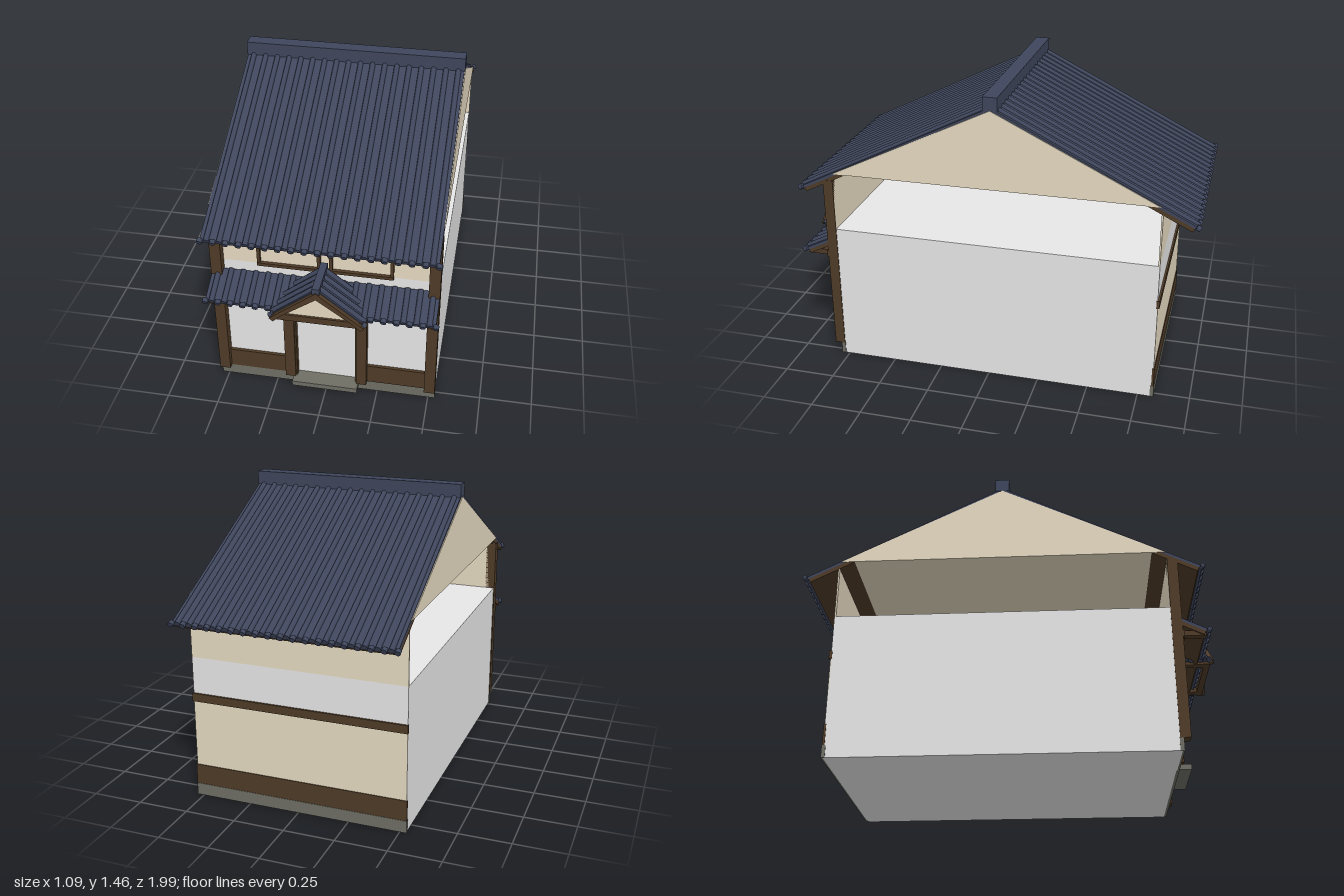
import * as THREE from 'three';

const mat = (name, color) => Object.assign(new THREE.MeshStandardMaterial({ color }), { name });

export function createModel() {
  const tile = mat('navy roof tile', 0x3f465c);
  const wood = mat('dark wood', 0x4f3b27);
  const plaster = mat('cream plaster', 0xe6dac2);
  const pale = mat('pale grey wall', 0xebebeb);
  const stone = mat('grey stone', 0x6e6e65);

  const house = new THREE.Group();
  house.name = 'house';

  const add = (name, geo, material, parent = house) => {
    const m = new THREE.Mesh(geo, material);
    m.name = name;
    parent.add(m);
    return m;
  };
  // Box given by its limits on each axis
  const box = (name, material, x0, x1, y0, y1, z0, z1, parent) => {
    const m = add(name, new THREE.BoxGeometry(x1 - x0, y1 - y0, z1 - z0), material, parent);
    m.position.set((x0 + x1) / 2, (y0 + y1) / 2, (z0 + z1) / 2);
    return m;
  };
  // The same box on both sides
  const pair = (name, material, x0, x1, ...rest) => {
    box(name, material, x0, x1, ...rest);
    box(name, material, -x1, -x0, ...rest);
  };
  const extrude = (points, depth) => new THREE.ExtrudeGeometry(
    new THREE.Shape(points.map(p => new THREE.Vector2(...p))), { depth, bevelEnabled: false });

  // Tiled slope: runs down local +z from its top edge, with ribs, round end caps and a wooden soffit
  const slope = (name, width, length, pitch, count, turn, x, y, z) => {
    const g = new THREE.Group();
    g.name = name;
    const w = width / 2;
    box('tileSheet', tile, -w, w, -0.014, 0, 0, length, g);
    box('soffit', wood, -w, w, -0.034, -0.014, 0.02, length - 0.012, g);
    const rib = new THREE.CylinderGeometry(0.013, 0.013, length, 8).rotateX(Math.PI / 2);
    const cap = new THREE.CylinderGeometry(0.014, 0.014, 0.02, 8).rotateX(Math.PI / 2);
    const step = width / count;
    for (let i = 0; i <= count; i++) {
      add('endCap', cap, tile, g).position.set(-w + i * step, -0.002, length);
      if (i < count) add('tileRib', rib, tile, g).position.set(-w + (i + 0.5) * step, 0, length / 2);
    }
    g.rotation.order = 'YXZ';
    g.rotation.set(pitch, turn, 0);
    g.position.set(x, y, z);
    house.add(g);
  };

  // Main body and foundation
  box('body', pale, -0.53, 0.53, 0, 0.71, -0.82, 0.78);
  box('frontFoundation', stone, -0.533, 0.533, 0, 0.06, 0.77, 0.79);
  box('backFoundation', stone, -0.533, 0.533, 0, 0.06, -0.828, -0.81);
  box('doorStep', stone, -0.16, 0.16, 0.036, 0.062, 0.78, 0.86);

  // Back wall
  box('backUpperWall', plaster, -0.53, 0.53, 0.71, 0.97, -0.82, -0.812);
  box('backLowerPlaster', plaster, -0.53, 0.53, 0.16, 0.49, -0.822, -0.815);
  box('backWainscot', wood, -0.533, 0.533, 0.06, 0.16, -0.826, -0.815);
  box('backBeam', wood, -0.533, 0.533, 0.49, 0.53, -0.83, -0.815);

  // Front wall
  box('frontUpperWall', plaster, -0.53, 0.53, 0.71, 0.98, 0.772, 0.78);
  box('topBeam', wood, -0.53, 0.53, 0.90, 0.94, 0.78, 0.81);
  pair('cornerPost', wood, 0.482, 0.534, 0.06, 0.97, 0.772, 0.822);
  pair('doorPost', wood, 0.15, 0.2, 0.06, 0.57, 0.775, 0.822);
  pair('wainscot', wood, 0.2, 0.482, 0.06, 0.16, 0.775, 0.795);
  pair('windowBeam', wood, 0.2, 0.482, 0.485, 0.528, 0.775, 0.805);
  pair('transomPlaster', plaster, 0.2, 0.482, 0.528, 0.56, 0.777, 0.784);
  box('doorLintel', wood, -0.155, 0.155, 0.423, 0.462, 0.775, 0.815);
  box('doorTransom', plaster, -0.15, 0.15, 0.462, 0.56, 0.777, 0.784);
  pair('doorJamb', wood, 0.143, 0.152, 0.06, 0.423, 0.775, 0.81);
  box('canopyBeam', wood, -0.534, 0.534, 0.555, 0.588, 0.775, 0.83);
  pair('canopyBracket', wood, 0.49, 0.525, 0.562, 0.588, 0.82, 0.93);

  // Upper window frames
  pair('outerWindowStile', wood, 0.303, 0.318, 0.706, 0.91, 0.778, 0.795);
  pair('innerWindowStile', wood, 0.02, 0.036, 0.706, 0.91, 0.778, 0.795);
  box('windowSill', wood, -0.318, 0.318, 0.706, 0.722, 0.778, 0.797);

  // Attic prism with its gable ends
  const attic = add('attic', extrude([[-0.79, 1.006], [0.79, 1.006], [0, 1.391]], 1.072), plaster);
  attic.rotation.y = Math.PI / 2;
  attic.position.set(-0.536, 0, -0.02);

  // Main roof
  const pitch = Math.atan(0.5);
  slope('frontRoof', 1.064, 1.073, pitch, 18, 0, 0, 1.405, -0.02);
  slope('backRoof', 1.064, 1.073, pitch, 18, Math.PI, 0, 1.405, -0.02);
  box('ridge', tile, -0.535, 0.535, 1.39, 1.455, -0.055, 0.015);

  // Canopy roof over the ground floor
  slope('canopyRoof', 1.064, 0.173, pitch, 18, 0, 0, 0.665, 0.79);

  // Small gable over the door
  const gablePitch = Math.atan2(0.17, 0.215);
  for (const s of [1, -1]) {
    slope('porchRoof', 0.175, 0.272, gablePitch, 4, s * Math.PI / 2, 0, 0.752, 0.89);
  }
  box('porchRidge', tile, -0.017, 0.017, 0.738, 0.768, 0.8, 0.995);
  add('porchGable', extrude([[-0.18, 0.588], [0.18, 0.588], [0, 0.72]], 0.02), plaster).position.z = 0.955;
  add('bargeboard', extrude([
    [0, 0.748], [-0.218, 0.576], [-0.2, 0.56], [-0.165, 0.594], [0, 0.712],
    [0.165, 0.594], [0.2, 0.56], [0.218, 0.576],
  ], 0.02), wood).position.z = 0.98;
  box('porchBeam', wood, -0.2, 0.2, 0.562, 0.595, 0.955, 0.985);
  pair('porchBracket', wood, 0.155, 0.195, 0.562, 0.59, 0.82, 0.96);

  return house;
}
